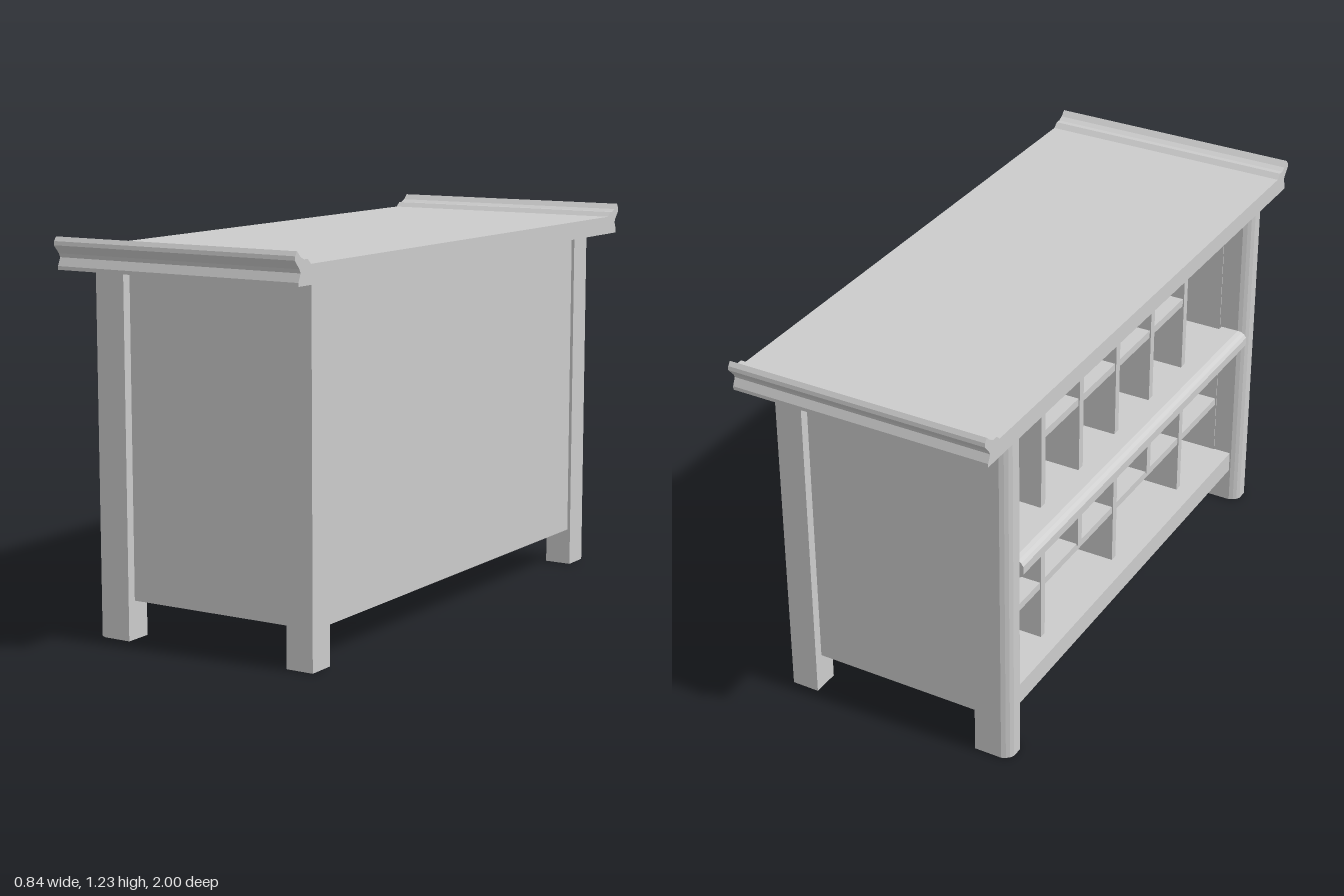
import * as THREE from 'three';

const material = new THREE.MeshStandardMaterial({ color: 0xcccccc, flatShading: true });

function add(parent, name, geometry) {
  const mesh = new THREE.Mesh(geometry, material);
  mesh.name = name;
  parent.add(mesh);
  return mesh;
}

// Box given by its limits on each axis
function box(parent, name, [x0, x1], [y0, y1], [z0, z1]) {
  const g = new THREE.BoxGeometry(x1 - x0, y1 - y0, z1 - z0);
  g.translate((x0 + x1) / 2, (y0 + y1) / 2, (z0 + z1) / 2);
  return add(parent, name, g);
}

function extrude(points, depth) {
  const shape = new THREE.Shape(points.map(([x, y]) => new THREE.Vector2(x, y)));
  return new THREE.ExtrudeGeometry(shape, { depth, bevelEnabled: false });
}

// Bar section with a rounded nose towards -x; w is its width, back its rear x
function nosed(back, w) {
  const h = w / 2;
  return [
    [back, -h], [back, h], [-0.375, h], [-0.388, h * 0.86], [-0.398, h * 0.68], [-0.405, h * 0.4],
    [-0.405, -h * 0.4], [-0.398, -h * 0.68], [-0.388, -h * 0.86], [-0.375, -h],
  ];
}

export function createModel() {
  const model = new THREE.Group();
  model.name = 'altarCabinet';

  // Table top with upturned ends
  const end = [
    [0.983, 1.127], [0.983, 1.138], [0.972, 1.163], [0.978, 1.175], [1.0, 1.2],
    [0.998, 1.212], [0.989, 1.225], [0.972, 1.208], [0.955, 1.2], [0.937, 1.2], [0.92, 1.185],
  ];
  const mirrored = end.map(([z, y]) => [-z, y]).reverse();
  const top = extrude([...end, ...mirrored], 0.84);
  top.rotateY(-Math.PI / 2).translate(0.42, 0, 0);
  add(model, 'tableTop', top);

  // Legs: square on the closed side, round-nosed on the open side
  for (const s of [-1, 1]) {
    box(model, 'squareLeg', [0.285, 0.375], [0, 1.127], [s * 0.805 - 0.045, s * 0.805 + 0.045]);
    const leg = extrude(nosed(-0.285, 0.09), 1.127);
    leg.rotateX(-Math.PI / 2).translate(0, 0, s * 0.805);
    add(model, 'nosedLeg', leg);
    // End panels
    box(model, 'endPanel', [-0.31, 0.36], [0.12, 1.127], s > 0 ? [0.757, 0.82] : [-0.82, -0.757]);
  }

  // Closed long panel, floor and middle board
  box(model, 'longPanel', [0.34, 0.365], [0.12, 1.127], [-0.78, 0.78]);
  box(model, 'floor', [-0.37, 0.345], [0.12, 0.19], [-0.765, 0.765]);
  box(model, 'middleBoard', [-0.32, 0.345], [0.615, 0.67], [-0.76, 0.76]);
  const rail = extrude(nosed(-0.315, 0.07), 1.53);
  rail.translate(0, 0.645, -0.765);
  add(model, 'middleRail', rail);

  // Upper compartments: five dividers, with shelves in the four inner bays
  const shelving = new THREE.Group();
  shelving.name = 'shelving';
  model.add(shelving);
  const step = 0.2375;
  const back = 0.345;
  const front = -0.31;
  const divider = (z, y0, y1) => box(shelving, 'divider', [front, back], [y0, y1], [z - 0.0125, z + 0.0125]);
  for (let i = -2; i <= 2; i++) divider(i * step, 0.66, 1.127);
  box(shelving, 'upperShelf', [front + 0.004, back], [0.9, 0.925], [-2 * step, 2 * step]);

  // Lower compartments: three full dividers, two short ones above the shelf
  for (const i of [-2, 0, 2]) divider(i * step, 0.185, 0.62);
  for (const i of [-1, 1]) divider(i * step, 0.39, 0.62);
  box(shelving, 'lowerShelf', [front + 0.004, back], [0.37, 0.395], [-0.76, 0.76]);

  return model;
}
